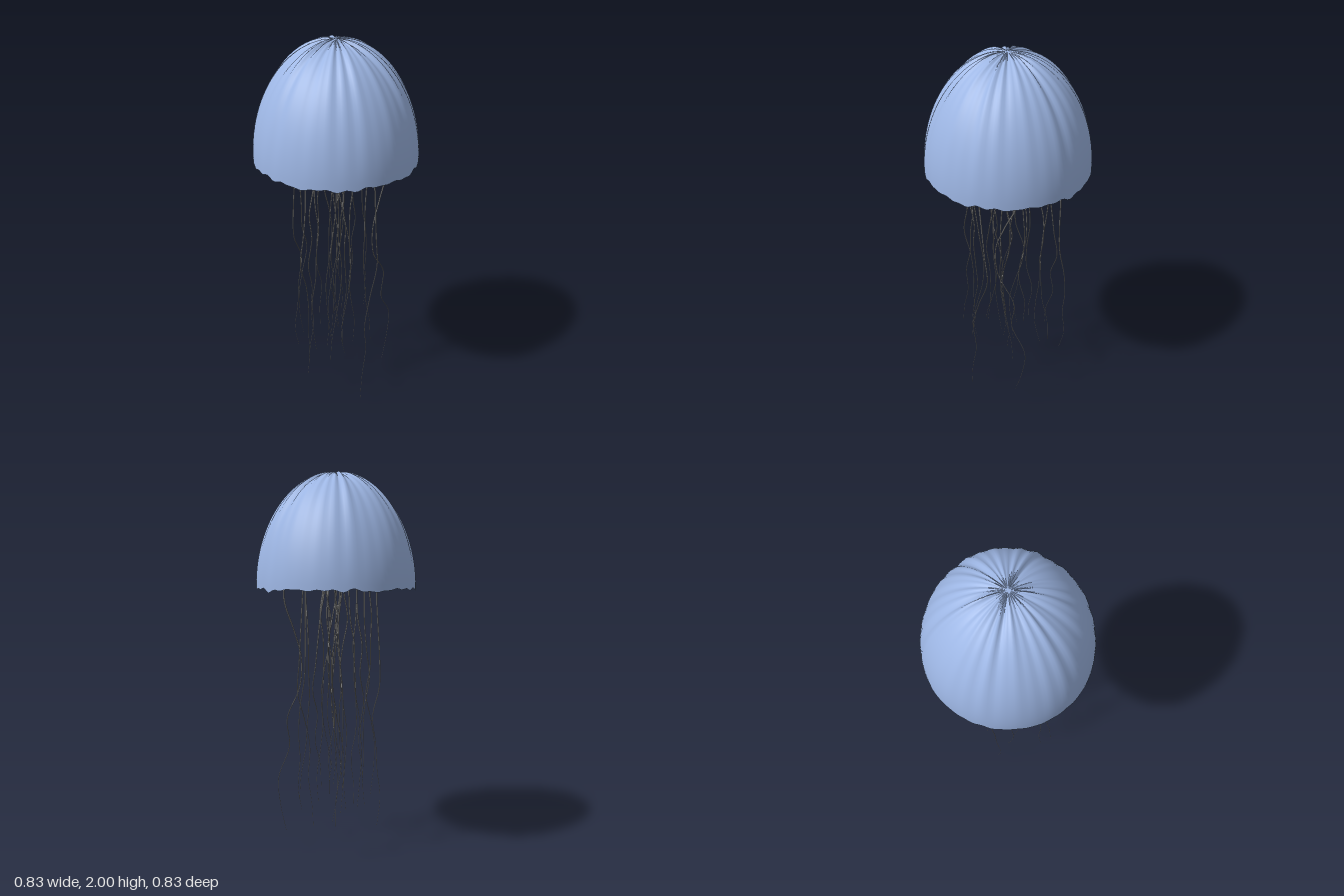
import * as THREE from 'three';

const blue = new THREE.MeshStandardMaterial({ color: 0x9db6e4, side: THREE.DoubleSide });
const grey = new THREE.MeshStandardMaterial({ color: 0xcccccc, side: THREE.DoubleSide });

// small seeded random generator
function seeded(seed) {
  let s = seed;
  return () => (s = (s * 16807) % 2147483647) / 2147483647;
}

// sum of sines around the bell: gives the ribs and the ragged rim
function makeRipple(seed, amplitude) {
  const rand = seeded(seed);
  const waves = [5, 9, 14, 19, 25, 31].map(n => ({ n, phase: rand() * Math.PI * 2, a: 0.4 + rand() * 0.6 }));
  return t => amplitude * waves.reduce((sum, w) => sum + w.a * Math.sin(w.n * t + w.phase), 0) / 3;
}

// Half-ellipsoid shell open at the bottom, lifted and dropped along each meridian
function bellGeometry(radius, rimY, topY, ripple) {
  const cols = 144, rings = 28;
  const pos = [0, topY, 0], index = [];
  for (let i = 1; i <= rings; i++) {
    const a = (i / rings) * Math.PI / 2;
    const r = radius * Math.sin(a);
    const y = rimY + (topY - rimY) * Math.cos(a);
    const fade = Math.min(1, r / 0.08);
    for (let j = 0; j < cols; j++) {
      const t = (j / cols) * Math.PI * 2;
      pos.push(r * Math.sin(t), y + ripple(t) * fade, r * Math.cos(t));
    }
  }
  const at = (i, j) => 1 + (i - 1) * cols + (j % cols);
  for (let j = 0; j < cols; j++) {
    index.push(0, at(1, j), at(1, j + 1));
    for (let i = 1; i < rings; i++) {
      index.push(at(i, j), at(i + 1, j), at(i + 1, j + 1));
      index.push(at(i, j), at(i + 1, j + 1), at(i, j + 1));
    }
  }
  const g = new THREE.BufferGeometry();
  g.setAttribute('position', new THREE.Float32BufferAttribute(pos, 3));
  g.setIndex(index);
  g.computeVertexNormals();
  return g;
}

// Tapering tube along a curve
function tentacleGeometry(curve, r0, r1) {
  const steps = 60, sides = 6;
  const g = new THREE.TubeGeometry(curve, steps, 1, sides, false);
  const p = g.attributes.position, v = new THREE.Vector3();
  for (let i = 0; i <= steps; i++) {
    const c = curve.getPointAt(i / steps);
    const r = r0 + (r1 - r0) * (i / steps);
    for (let j = 0; j <= sides; j++) {
      const k = i * (sides + 1) + j;
      v.fromBufferAttribute(p, k).sub(c).multiplyScalar(r).add(c);
      p.setXYZ(k, v.x, v.y, v.z);
    }
  }
  return g;
}

// root x, root z, tip height, optional sway at even steps downwards
const TENTACLES = [
  [0.16, 0.19, 0.0, [0, 0.01, 0.02, 0.03, 0.04, 0.0, -0.03, -0.02, -0.04, -0.05]],
  [0.27, 0.01, 0.09, [0, 0, -0.05, -0.09, -0.08, -0.01, -0.02, 0.04, 0.03, 0]],
  [-0.2, -0.11, 0.15, [0, 0, -0.01, -0.02, -0.02, 0.02, 0.0, -0.01, -0.03, -0.01]],
  [-0.17, 0.17, 0.15], [0.16, 0.05, 0.25], [-0.02, 0.23, 0.3], [0.06, 0.09, 0.33],
  [-0.05, 0.2, 0.25], [0.04, 0.08, 0.25], [0.0, 0.07, 0.35], [-0.13, 0.19, 0.25],
  [0.04, -0.02, 0.35], [0.06, -0.1, 0.25], [-0.04, 0.0, 0.2], [0.17, -0.23, 0.3],
  [-0.02, -0.04, 0.2], [-0.11, 0.01, 0.2], [0.07, -0.17, 0.4], [0.02, -0.17, 0.2],
  [0.0, -0.21, 0.2], [-0.05, -0.17, 0.25], [-0.17, -0.04, 0.3],
];

export function createModel() {
  const model = new THREE.Group();
  const add = (name, geometry, material, parent = model) => {
    const mesh = new THREE.Mesh(geometry, material);
    mesh.name = name;
    parent.add(mesh);
  };

  // nested bells
  add('outerBell', bellGeometry(0.415, 1.41, 1.997, makeRipple(71, 0.012)), blue);
  add('middleBell', bellGeometry(0.335, 1.44, 1.9, makeRipple(233, 0.008)), grey);
  add('innerBell', bellGeometry(0.23, 1.465, 1.79, makeRipple(517, 0.004)), grey);

  // hanging tentacles, all swaying in one diagonal plane
  const tentacles = new THREE.Group();
  tentacles.name = 'tentacles';
  model.add(tentacles);
  const rand = seeded(4242);
  TENTACLES.forEach(([x, z, tipY, sway], n) => {
    const rootY = Math.hypot(x, z) < 0.21 ? 1.55 : 1.5;
    let drift = 0;
    const points = [];
    for (let i = 0; i < 10; i++) {
      if (i > 1) drift = drift * 0.85 + (rand() - 0.5) * 0.055;
      const s = sway ? sway[i] : drift;
      points.push(new THREE.Vector3(x + s, rootY + (tipY - rootY) * i / 9, z - s));
    }
    add('tentacle' + (n + 1), tentacleGeometry(new THREE.CatmullRomCurve3(points), 0.0045, 0.0006), grey, tentacles);
  });
  return model;
}
